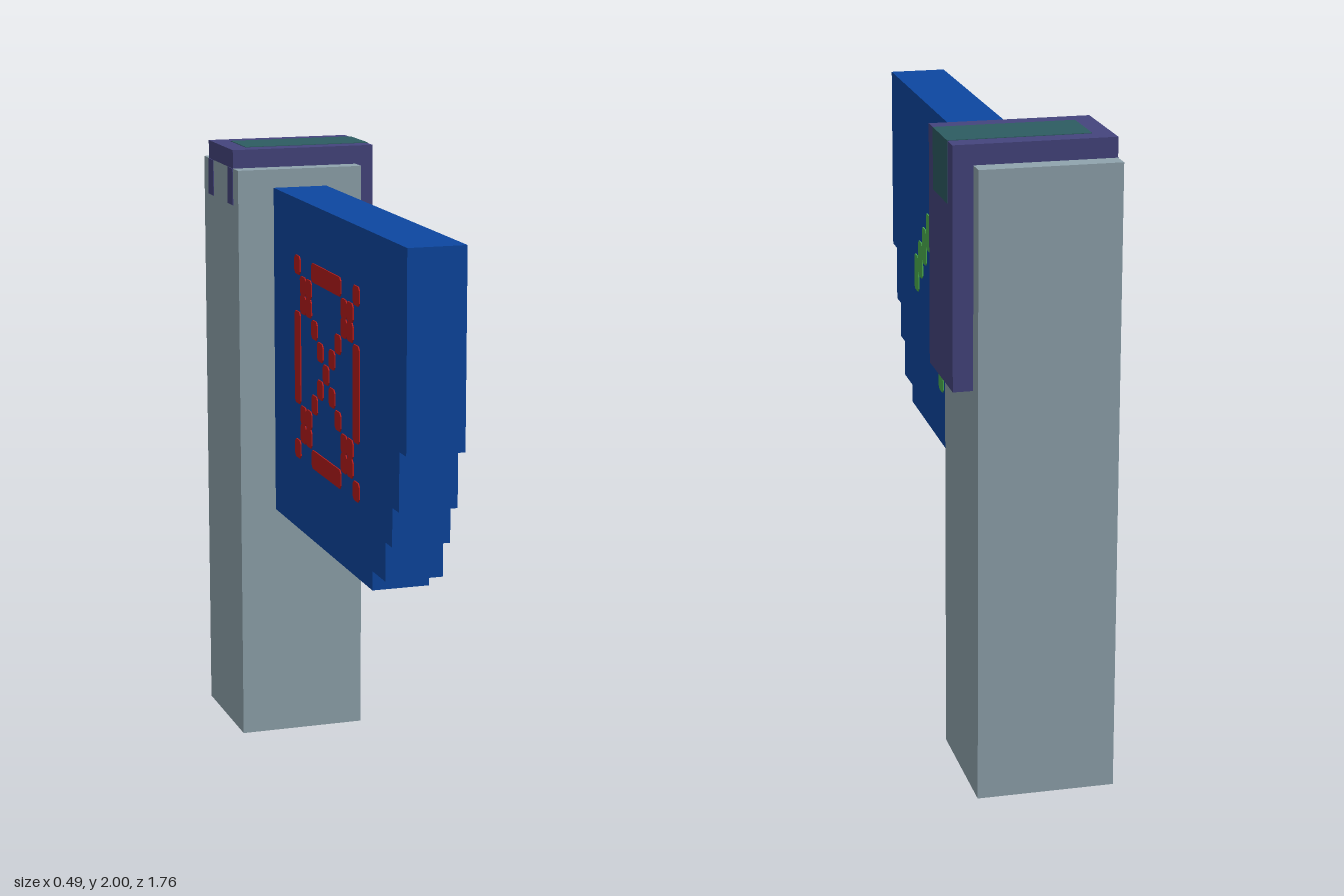
import * as THREE from 'three';

const U = 2 / 33; // block unit used for every part
const T = 0.004;  // thickness of painted plates

const mat = (name, color) => {
  const m = new THREE.MeshStandardMaterial({ color });
  m.name = name;
  return m;
};

export function createModel() {
  const root = new THREE.Group();
  root.name = 'signPost';
  const grey = mat('post grey', 0x90a4ae);
  const blue = mat('panel blue', 0x0d47a1);
  const purple = mat('cap purple', 0x45457e);
  const teal = mat('cap teal', 0x2d5c62);
  const green = mat('arrow green', 0x4caf50);
  const red = mat('emblem red', 0xb71c1c);

  // Box from its limits in block units
  const box = (name, m, x0, x1, y0, y1, z0, z1, parent = root) => {
    const g = new THREE.BoxGeometry((x1 - x0) * U, (y1 - y0) * U, (z1 - z0) * U);
    g.translate((x0 + x1) / 2 * U, (y0 + y1) / 2 * U, (z0 + z1) / 2 * U);
    const mesh = new THREE.Mesh(g, m);
    mesh.name = name;
    parent.add(mesh);
  };

  // Extrude a z/y outline toward -x, starting at x
  const extrudeSide = (name, m, points, x, depth, parent) => {
    const shape = new THREE.Shape(points.map(([z, y]) => new THREE.Vector2(z * U, y * U)));
    const g = new THREE.ExtrudeGeometry(shape, { depth, bevelEnabled: false });
    g.rotateY(-Math.PI / 2).translate(x, 0, 0);
    const mesh = new THREE.Mesh(g, m);
    mesh.name = name;
    parent.add(mesh);
  };

  // Thin painted block with clipped corners
  const plate = (name, m, z0, z1, y0, y1, x, parent) => {
    const c = 0.18;
    extrudeSide(name, m, [
      [z0 + c, y0], [z1 - c, y0], [z1, y0 + c], [z1, y1 - c],
      [z1 - c, y1], [z0 + c, y1], [z0, y1 - c], [z0, y0 + c],
    ], x, T, parent);
  };

  // Post
  box('post', grey, -4, 3, 0, 32, -14.5, -7.5);

  // Sign panel with a stepped lower front corner
  extrudeSide('panel', blue, [
    [-7.5, 13], [9.5, 13], [9.5, 14], [11.5, 14], [11.5, 16], [12.5, 16],
    [12.5, 18], [13.5, 18], [13.5, 21], [14.5, 21], [14.5, 31], [-7.5, 31],
  ], U, 3 * U, root);

  // Cap folded over the post, with two short tabs on the right side
  const cap = new THREE.Group();
  cap.name = 'cap';
  root.add(cap);
  box('capTop', purple, -4, 4, 32, 33, -13.5, -8.5, cap);
  box('capFlap', purple, 3, 4, 21, 32, -13.5, -8.5, cap);
  for (const z of [-13.5, -9.5]) box('capTab', purple, -4.04, -3.9, 30, 32, z, z + 1, cap);
  box('capStripeTop', teal, -3, 4.03, 32.9, 33.03, -12.5, -9.5, cap);
  box('capStripeSide', teal, 3.9, 4.03, 30, 33.03, -12.5, -9.5, cap);

  // Arrow on the left face
  const arrow = new THREE.Group();
  arrow.name = 'arrow';
  root.add(arrow);
  const leftX = U + T;
  plate('arrowStem', green, 1.5, 2.5, 16, 23, leftX, arrow);
  for (let i = -6; i <= 6; i++) {
    const top = 28 - Math.abs(i);
    plate('arrowHead', green, 1.5 + i, 2.5 + i, top - 2, top, leftX, arrow);
  }

  // Crossed ring on the right face, centred on z = 2, y = 22.5 units
  const emblem = new THREE.Group();
  emblem.name = 'emblem';
  root.add(emblem);
  const mark = (name, a, b, w = 0.5, h = 0.5) =>
    plate(name, red, 2 + a - w, 2 + a + w, 22.5 + b - h, 22.5 + b + h, -2 * U, emblem);
  for (let i = -5; i <= 5; i++) {
    mark('cross', i, i);
    if (i) mark('cross', i, -i);
  }
  for (const s of [-1, 1]) {
    mark('ringSide', s * 5, 0, 0.5, 2.5);
    mark('ringEdge', 0, s * 5, 2.5, 0.5);
    for (const t of [-1, 1]) {
      mark('ringCorner', s * 4, t * 3);
      mark('ringCorner', s * 3, t * 4);
    }
  }
  return root;
}
